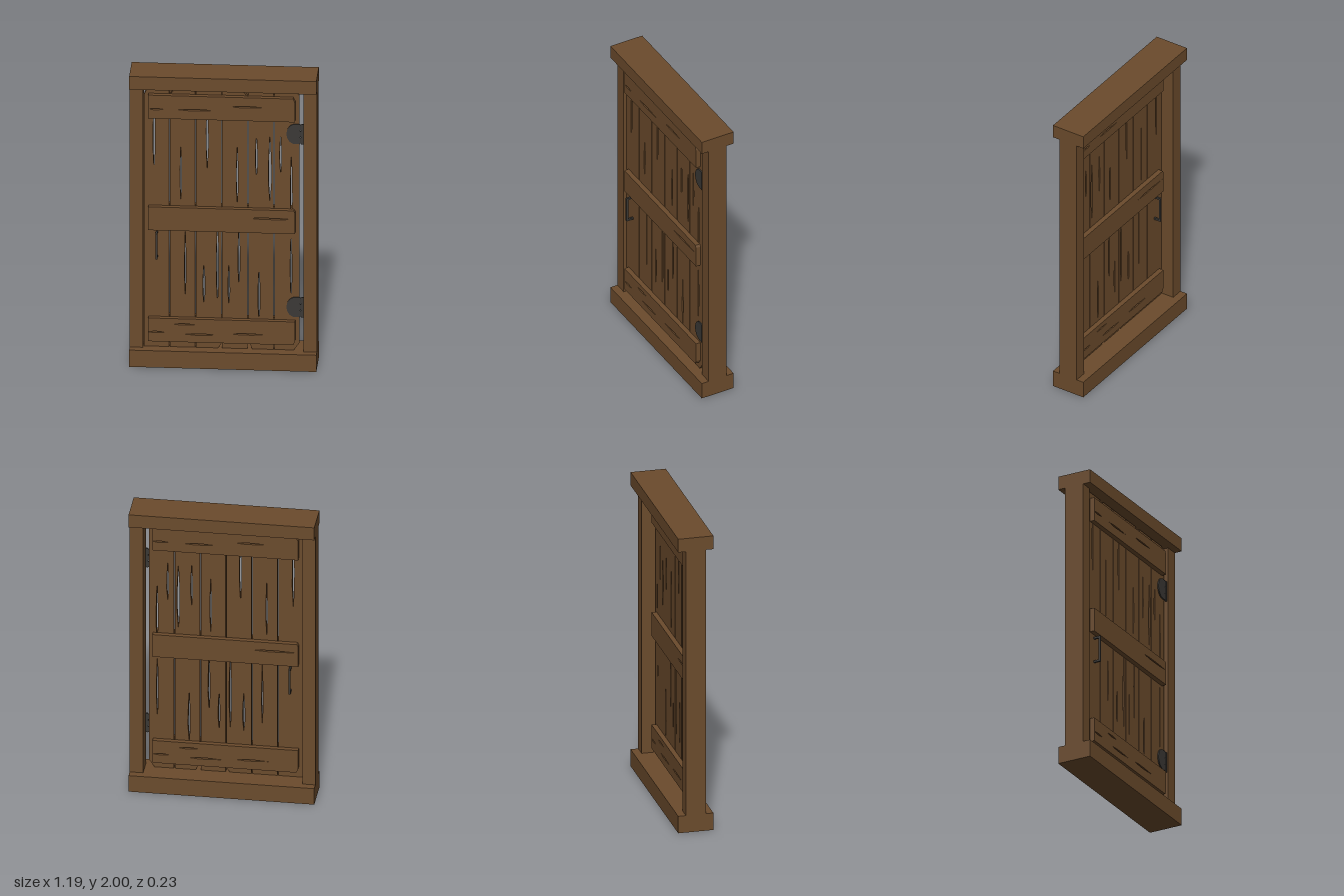
import * as THREE from 'three';

const wood = new THREE.MeshStandardMaterial({ color: 0x6b4b2c });
wood.name = 'brown wood';
const iron = new THREE.MeshStandardMaterial({ color: 0x3a3835 });
iron.name = 'dark iron';

const DOOR_X = -0.01;   // middle of the door leaf
const DOOR_Z = 0.033;
const PLANK_T = 0.03;

function box(name, mat, x0, x1, y0, y1, z0, z1) {
  const mesh = new THREE.Mesh(new THREE.BoxGeometry(x1 - x0, y1 - y0, z1 - z0), mat);
  mesh.position.set((x0 + x1) / 2, (y0 + y1) / 2, (z0 + z1) / 2);
  mesh.name = name;
  return mesh;
}

// Sliver-shaped crack between two points, widest near the middle
function crack(x0, y0, x1, y1, w) {
  const dx = x1 - x0, dy = y1 - y0, len = Math.hypot(dx, dy);
  const nx = -dy / len * w / 2, ny = dx / len * w / 2;
  const at = (t, s) => new THREE.Vector2(x0 + dx * t + nx * s, y0 + dy * t + ny * s);
  return new THREE.Path([at(0, 0), at(0.25, 0.8), at(0.55, 0.9), at(1, 0), at(0.6, -0.9), at(0.3, -1)]);
}

// Flat board whose corners (bottom left, bottom right, top right, top left) can be chipped by [dx, dy]
function board(name, x0, x1, y0, y1, z, depth, holes, chips = []) {
  const pts = [];
  [[x0, y0, 1, 1], [x1, y0, -1, 1], [x1, y1, -1, -1], [x0, y1, 1, -1]].forEach(([x, y, sx, sy], i) => {
    if (!chips[i]) return pts.push(new THREE.Vector2(x, y));
    const [cx, cy] = chips[i];
    const a = new THREE.Vector2(x + sx * cx, y), b = new THREE.Vector2(x, y + sy * cy);
    pts.push(...(i % 2 ? [a, b] : [b, a]));
  });
  const shape = new THREE.Shape(pts);
  shape.holes = holes;
  const mesh = new THREE.Mesh(new THREE.ExtrudeGeometry(shape, { depth, bevelEnabled: false }), wood);
  mesh.position.z = z;
  mesh.name = name;
  return mesh;
}

function makeFrame() {
  const g = new THREE.Group();
  g.name = 'frame';
  g.add(
    box('lintel', wood, -0.593, 0.593, 1.91, 2, -0.115, 0.115),
    box('sill', wood, -0.593, 0.593, 0, 0.115, -0.115, 0.115),
    box('rightPost', wood, -0.593, -0.51, 0.115, 1.91, -0.065, 0.065),
    box('leftPost', wood, 0.507, 0.593, 0.115, 1.91, -0.065, 0.065));
  return g;
}

function makePlanks() {
  const g = new THREE.Group();
  g.name = 'planks';
  // Cracks as x, bottom, top, width
  const cracks = [
    [-0.44, 1.34, 1.84, 0.014], [-0.27, 1.12, 1.52, 0.01], [-0.103, 1.35, 1.85, 0.014],
    [0.087, 1.12, 1.51, 0.012], [0.209, 1.3, 1.6, 0.013], [0.294, 1.13, 1.6, 0.019],
    [0.362, 1.33, 1.6, 0.013], [0.43, 1.0, 1.47, 0.012], [-0.242, 0.48, 0.92, 0.01],
    [-0.124, 0.42, 0.7, 0.015], [-0.038, 0.43, 1.0, 0.016], [0.034, 0.42, 0.7, 0.012],
    [0.098, 0.55, 0.97, 0.013], [0.225, 0.32, 0.68, 0.015], [0.428, 0.48, 0.93, 0.012]];
  const chips = [
    [, , , [0.025, 0.05]], [, , [0.012, 0.03], [0.035, 0.05]], [, [0.02, 0.03]],
    [, , [0.035, 0.05]], [[0.025, 0.06], , , [0.01, 0.03]], [, [0.035, 0.05], [0.03, 0.03]]];
  for (let i = 0; i < 6; i++) {
    const x0 = -0.503 + i * 0.165, x1 = x0 + 0.159;
    const holes = cracks.filter(c => c[0] > x0 && c[0] < x1)
      .map(([x, a, b, w]) => crack(x, a, x, b, w));
    g.add(board('plank', x0, x1, 0.118, 1.903, DOOR_Z - PLANK_T / 2, PLANK_T, holes, chips[i]));
  }
  return g;
}

// Three cross boards for one side of the door, relative to the door's middle
function makeBraces(name) {
  const g = new THREE.Group();
  g.name = name;
  const rows = [
    [0.165, [[-0.462, -0.36, 0.23], [-0.3, -0.17, 0.287], [-0.23, -0.025, 0.22], [0.06, 0.28, 0.23]],
      [, [0.012, 0.025]]],
    [0.93, [[0.175, 0.462, 1.03]], [, , [0.008, 0.015]]],
    [1.7, [[-0.462, -0.365, 1.765], [-0.275, -0.055, 1.765], [0.06, 0.26, 1.795]], [, , [0.012, 0.025]]]];
  for (const [y, slits, chips] of rows) {
    const holes = slits.map(([a, b, h]) => crack(a, h, b, h, 0.011));
    g.add(board('brace', -0.465, 0.465, y, y + 0.16, PLANK_T / 2, 0.032, holes, chips));
  }
  g.position.set(DOOR_X, 0, DOOR_Z);
  return g;
}

// Pull handle standing off the planks, built toward +z
function makeHandle(name) {
  const g = new THREE.Group();
  g.name = name;
  const z0 = PLANK_T / 2;
  g.add(
    box('grip', iron, -0.006, 0.006, 0.735, 0.912, z0 + 0.036, z0 + 0.049),
    box('lowerStandoff', iron, -0.006, 0.006, 0.735, 0.748, z0, z0 + 0.036),
    box('upperStandoff', iron, -0.006, 0.006, 0.899, 0.912, z0, z0 + 0.036));
  g.position.set(-0.422, 0, DOOR_Z);
  return g;
}

// Hinge: round-ended leaf, knuckle pieces and a strip reaching the post
function makeHinge(y) {
  const g = new THREE.Group();
  g.name = 'hinge';
  const s = new THREE.Shape();
  s.moveTo(0.485, -0.068);
  s.lineTo(0.485, 0.068);
  s.lineTo(0.455, 0.068);
  s.absellipse(0.455, 0, 0.055, 0.068, Math.PI / 2, Math.PI * 1.5, false);
  const leaf = new THREE.Mesh(
    new THREE.ExtrudeGeometry(s, { depth: 0.008, bevelEnabled: false, curveSegments: 10 }), iron);
  leaf.position.z = DOOR_Z + PLANK_T / 2;
  leaf.name = 'hingeLeaf';
  g.add(leaf, box('hingeStrip', iron, 0.493, 0.508, -0.068, 0.068, 0.046, 0.056));
  for (const k of [-1, 0, 1]) {
    const knuckle = new THREE.Mesh(new THREE.CylinderGeometry(0.006, 0.006, 0.038, 10), iron);
    knuckle.position.set(0.489, k * 0.045, 0.05);
    knuckle.name = 'hingeKnuckle';
    g.add(knuckle);
  }
  g.position.y = y;
  return g;
}

export function createModel() {
  const model = new THREE.Group();
  model.name = 'door';
  const backBraces = makeBraces('backBraces');
  backBraces.rotation.y = Math.PI;
  const backHandle = makeHandle('backHandle');
  backHandle.rotation.y = Math.PI;
  model.add(makeFrame(), makePlanks(), makeBraces('frontBraces'), backBraces,
    makeHandle('frontHandle'), backHandle, makeHinge(1.608), makeHinge(0.416));
  return model;
}
